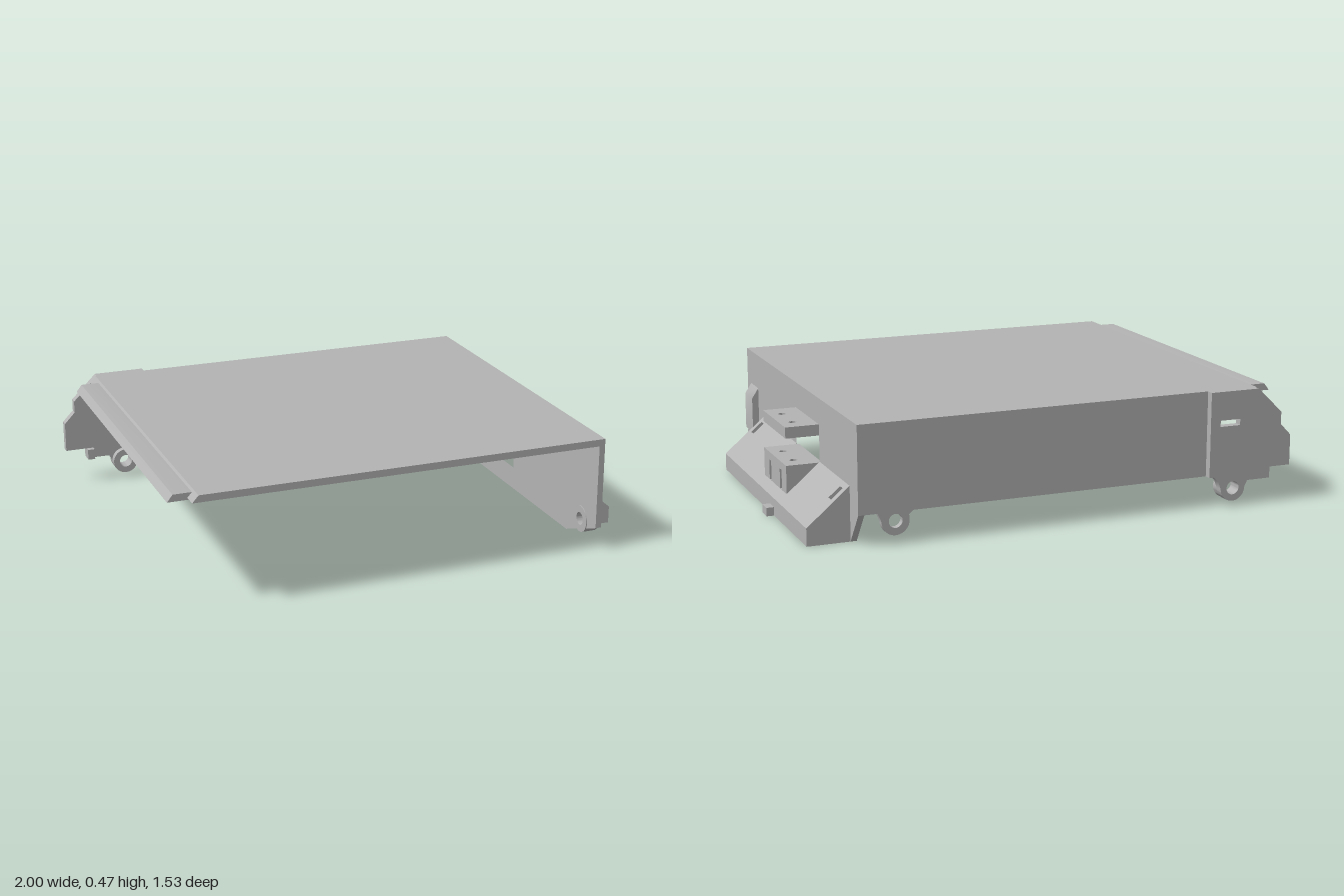
import * as THREE from 'three';
import { toCreasedNormals } from 'three/addons/utils/BufferGeometryUtils.js';

const metal = new THREE.MeshStandardMaterial({ color: 0xb3b3b3 });
metal.name = 'grey metal';

export function createModel() {
  const group = new THREE.Group();

  const add = (name, geo) => {
    const mesh = new THREE.Mesh(geo, metal);
    mesh.name = name;
    group.add(mesh);
    return mesh;
  };
  // Box given by its lower and upper corners
  const box = (name, x0, x1, y0, y1, z0, z1) =>
    add(name, new THREE.BoxGeometry(x1 - x0, y1 - y0, z1 - z0))
      .position.set((x0 + x1) / 2, (y0 + y1) / 2, (z0 + z1) / 2);
  const polygon = (pts) => new THREE.Shape(pts.map((p) => new THREE.Vector2(...p)));
  const rectHole = (shape, x0, x1, y0, y1) =>
    shape.holes.push(polygon([[x0, y0], [x0, y1], [x1, y1], [x1, y0]]));
  const roundHole = (shape, x, y, r) =>
    shape.holes.push(new THREE.Path().absarc(x, y, r, 0, Math.PI * 2, true));
  const extrude = (shape, depth) => toCreasedNormals(
    new THREE.ExtrudeGeometry(shape, { depth, bevelEnabled: false, curveSegments: 20 }), 0.6);
  // Plates lying in the x-y, z-y and x-z planes
  const frontPlate = (name, shape, z0, z1) => add(name, extrude(shape, z1 - z0).translate(0, 0, z0));
  const sidePlate = (name, shape, x0, x1) =>
    add(name, extrude(shape, x1 - x0).rotateY(-Math.PI / 2).translate(x1, 0, 0));
  const flatPlate = (name, shape, y0, y1) =>
    add(name, extrude(shape, y1 - y0).rotateX(-Math.PI / 2).translate(0, y0, 0));
  const ring = (x, y, r, hole) => {
    const s = new THREE.Shape().absarc(x, y, r, 0, Math.PI * 2, false);
    roundHole(s, x, y, hole);
    return s;
  };

  // Top panel with a bevelled edge, and the joggled lip below it
  frontPlate('topPanel', polygon([[-0.88, 0.44], [0.8, 0.44], [0.8, 0.468], [-0.855, 0.468]]), -0.74, 0.765);
  frontPlate('edgeLip', polygon([[-0.957, 0.432], [-0.73, 0.432], [-0.73, 0.442], [-0.86, 0.46], [-0.935, 0.46]]),
    -0.665, 0.705);

  // Back wall with its pivot ear
  const back = new THREE.Shape();
  back.moveTo(-0.67, 0.125);
  back.lineTo(0.585, 0.125);
  back.lineTo(0.602, 0.11);
  back.absarc(0.655, 0.09, 0.055, Math.PI, Math.PI * 2, false);
  back.lineTo(0.725, 0.125);
  back.lineTo(0.79, 0.125);
  back.lineTo(0.79, 0.455);
  back.lineTo(-0.67, 0.455);
  roundHole(back, 0.655, 0.09, 0.027);
  frontPlate('backWall', back, -0.74, -0.715);
  box('backWallPanel', -0.665, 0.776, 0.175, 0.44, -0.716, -0.71);

  // Offset end bracket with slot and pivot ear
  const end = new THREE.Shape();
  end.moveTo(-1, 0.145);
  end.lineTo(-0.91, 0.145);
  end.lineTo(-0.91, 0.1);
  end.lineTo(-0.81, 0.1);
  end.absarc(-0.745, 0.075, 0.053, Math.PI, Math.PI * 2, false);
  end.lineTo(-0.68, 0.105);
  end.lineTo(-0.66, 0.125);
  end.lineTo(-0.64, 0.125);
  end.lineTo(-0.64, 0.468);
  end.lineTo(-0.85, 0.468);
  end.lineTo(-0.955, 0.365);
  end.lineTo(-0.955, 0.315);
  end.lineTo(-1, 0.268);
  rectHole(end, -0.77, -0.683, 0.328, 0.353);
  roundHole(end, -0.745, 0.075, 0.027);
  frontPlate('endBracket', end, -0.77, -0.736);
  frontPlate('endBracketBoss', ring(-0.745, 0.075, 0.053, 0.027), -0.737, -0.708);
  box('endBracketTab', -0.91, -0.88, 0.1, 0.145, -0.737, -0.713);

  // Side wall with window, lower clearance and pivot hole
  const side = polygon([[0.765, 0.468], [0.765, 0.095], [0.525, 0], [-0.645, 0], [-0.74, 0.125], [-0.74, 0.468]]);
  rectHole(side, -0.275, 0.035, 0.205, 0.32);
  rectHole(side, -0.27, 0.03, 0.095, 0.145);
  roundHole(side, 0.64, 0.09, 0.026);
  sidePlate('sideWall', side, 0.776, 0.8);

  // Raised strap and boss at the front of the side wall
  frontPlate('strap', polygon([[0.799, 0.13], [0.828, 0.13], [0.828, 0.28], [0.799, 0.325]]), 0.6, 0.712);
  sidePlate('sideBoss', ring(0.64, 0.09, 0.055, 0.026), 0.772, 0.828);

  // Corner gusset with rivet
  const gusset = new THREE.Shape();
  gusset.moveTo(0.68, 0.44);
  gusset.lineTo(0.68, 0.415);
  gusset.absarc(0.73, 0.415, 0.05, Math.PI, Math.PI * 1.5, false);
  gusset.lineTo(0.755, 0.355);
  gusset.lineTo(0.755, 0.175);
  gusset.lineTo(0.776, 0.175);
  gusset.lineTo(0.776, 0.44);
  frontPlate('cornerGusset', gusset, -0.711, -0.703);
  frontPlate('rivet', new THREE.Shape().absarc(0.735, 0.413, 0.02, 0, Math.PI * 2, false), -0.704, -0.695);

  // Sloped flange, notched for the tab box and slotted near both ends
  const up = new THREE.Vector3(-0.17, 0.145, 0);
  const len = up.length();
  up.normalize();
  const along = new THREE.Vector3(0, 0, 1);
  const slope = polygon([[-0.645, 0], [0.525, 0], [0.525, len], [0.035, len], [0.035, 0.045],
    [-0.275, 0.045], [-0.275, len], [-0.645, len]]);
  for (const z of [0.48, -0.6]) rectHole(slope, z - 0.016, z + 0.016, 0.14, 0.2);
  const tilt = new THREE.Matrix4().makeBasis(along, up, along.clone().cross(up)).setPosition(0.97, 0.07, 0);
  add('slopedFlange', extrude(slope, 0.022).applyMatrix4(tilt));
  box('flangeLip', 0.945, 0.97, 0, 0.07, -0.645, 0.525);
  box('flangeStop', 0.965, 1, 0, 0.034, -0.212, -0.155);
  for (const z of [-0.645, 0.503]) {
    frontPlate('flangeEnd', polygon([[0.79, 0], [0.97, 0], [0.97, 0.07], [0.8, 0.215], [0.79, 0.215]]), z, z + 0.022);
  }

  // Two drilled tabs, one above the other
  for (const [name, y0, y1] of [['upperTab', 0.32, 0.364], ['lowerTab', 0.182, 0.212]]) {
    const tab = polygon([[0.79, -0.035], [0.935, -0.035], [0.935, 0.275], [0.79, 0.275]]);
    for (const z of [-0.2, -0.055]) roundHole(tab, 0.883, -z, 0.015);
    flatPlate(name, tab, y0, y1);
  }

  // Slotted face and cheeks beneath the lower tab
  const face = polygon([[-0.275, 0.095], [0.035, 0.095], [0.035, 0.183], [-0.275, 0.183]]);
  for (const z of [-0.05, -0.197]) rectHole(face, z - 0.013, z + 0.013, 0.099, 0.18);
  sidePlate('tabFace', face, 0.91, 0.935);
  for (const z of [-0.275, 0.015]) {
    frontPlate('tabCheek', polygon([[0.8, 0.18], [0.93, 0.09], [0.93, 0.2], [0.8, 0.2]]), z, z + 0.02);
  }

  return group;
}
